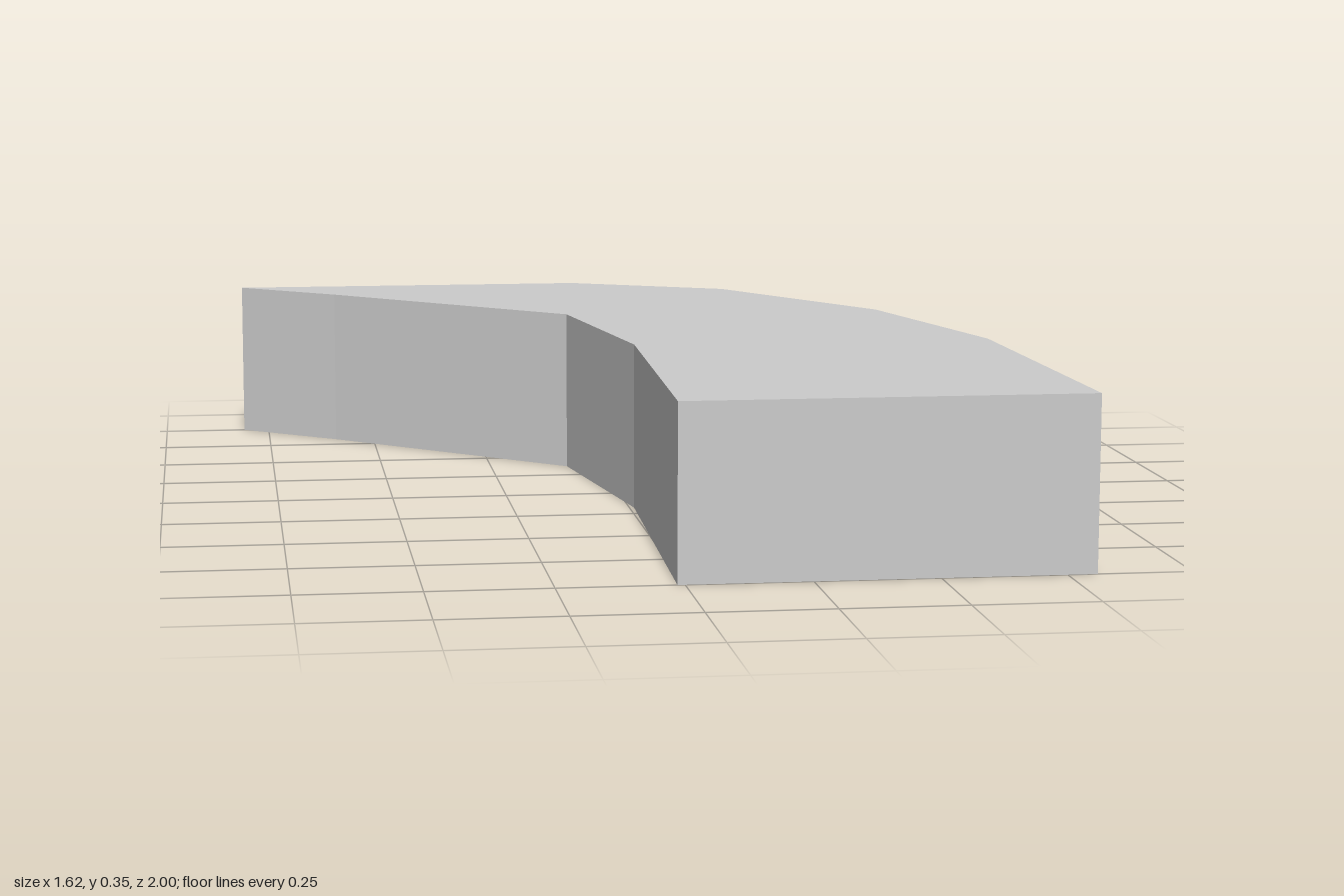
import * as THREE from 'three';

const HEIGHT = 0.355;

// Plan outline as [x, z]: the outer curve, then the inner curve back
const OUTER = [[-0.81, -1], [0.01, -1], [0.36, -0.825], [0.65, -0.365], [0.785, 0.18], [0.81, 1]];
const INNER = [[-0.015, 1], [0.01, 0.18], [-0.075, -0.365], [-0.59, -0.825]];

export function createModel() {
  const group = new THREE.Group();
  group.name = 'curvedBlock';

  const grey = new THREE.MeshStandardMaterial({ color: 0xcccccc, flatShading: true });
  grey.name = 'light grey';

  // Curved slab: the outline extruded, then laid flat on the ground
  const shape = new THREE.Shape([...OUTER, ...INNER].map(([x, z]) => new THREE.Vector2(x, z)));
  const geometry = new THREE.ExtrudeGeometry(shape, { depth: HEIGHT, bevelEnabled: false });
  geometry.rotateX(Math.PI / 2).translate(0, HEIGHT, 0);

  const slab = new THREE.Mesh(geometry, grey);
  slab.name = 'curvedSlab';
  group.add(slab);
  return group;
}
